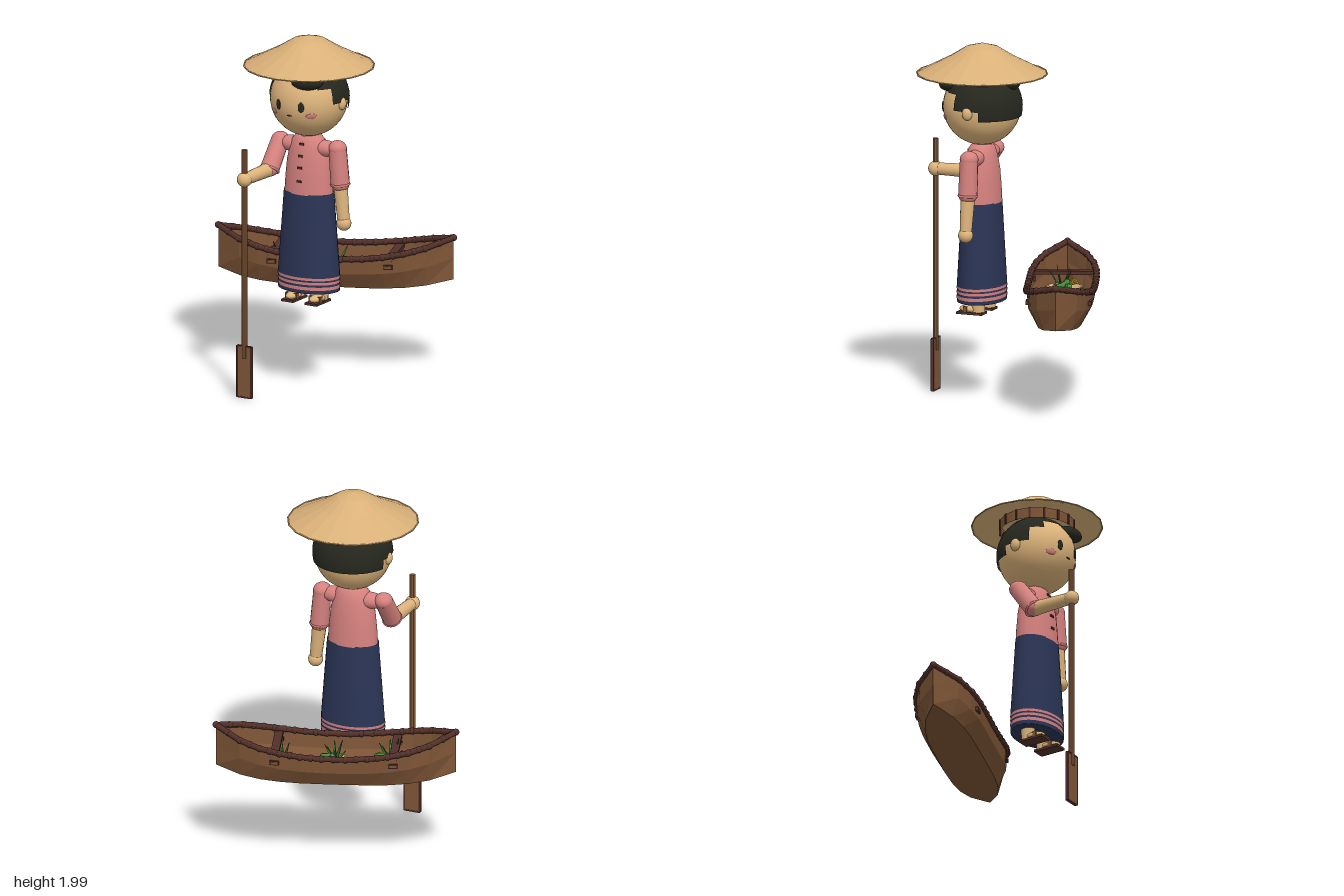
import * as THREE from 'three';

const mat = (name, color, double) => {
  const m = new THREE.MeshStandardMaterial({ color });
  m.name = name;
  if (double) m.side = THREE.DoubleSide;
  return m;
};

export function createModel() {
  const straw = mat('straw', 0xd9b078, true), skin = mat('skin', 0xdfb57c), pink = mat('pink cloth', 0xd6827f);
  const navy = mat('navy cloth', 0x2b3556, true), wood = mat('wood', 0x7f5637, true), dark = mat('dark wood', 0x52302a);
  const hair = mat('hair', 0x26281f, true), green = mat('green', 0x468f3a), leafGreen = mat('leaf green', 0x23592a);
  const yellow = mat('yellow', 0xdcb52e);
  const rad = THREE.MathUtils.degToRad;
  const model = new THREE.Group();
  model.name = 'boatWoman';

  const group = (parent, name, x = 0, y = 0, z = 0) => {
    const g = new THREE.Group();
    g.name = name;
    g.position.set(x, y, z);
    parent.add(g);
    return g;
  };
  const add = (parent, name, geo, material, x = 0, y = 0, z = 0) => {
    const m = new THREE.Mesh(geo, material);
    m.name = name;
    m.position.set(x, y, z);
    parent.add(m);
    return m;
  };
  const flat = (geo) => {
    const g = geo.toNonIndexed();
    g.computeVertexNormals();
    return g;
  };
  const box = (parent, name, w, h, d, m, x, y, z) => add(parent, name, new THREE.BoxGeometry(w, h, d), m, x, y, z);
  const ball = (parent, name, rx, ry, rz, m, x, y, z) => {
    const b = add(parent, name, new THREE.SphereGeometry(1, 20, 14), m, x, y, z);
    b.scale.set(rx, ry, rz);
    return b;
  };
  const lathe = (pts, n) => new THREE.LatheGeometry(pts.map(([r, y]) => new THREE.Vector2(r, y)), n);
  // Tapered rod from point a to point b
  const limb = (parent, name, a, b, ra, rb, m, sides = 14) => {
    const A = new THREE.Vector3(...a), B = new THREE.Vector3(...b), d = B.clone().sub(A);
    const rod = add(parent, name, new THREE.CylinderGeometry(rb, ra, d.length(), sides), m);
    rod.position.copy(A).lerp(B, 0.5);
    rod.quaternion.setFromUnitVectors(new THREE.Vector3(0, 1, 0), d.normalize());
    return rod;
  };

  // ---- Woman ----
  const woman = group(model, 'woman', 0.092, 0, 0.163);

  // Conical hat and its inner band
  add(woman, 'hat', flat(lathe([[0.36, 1.828], [0.18, 1.92], [0.09, 1.976], [0.001, 2]], 20)), straw);
  add(woman, 'hatRim', new THREE.TorusGeometry(0.357, 0.004, 6, 20).rotateX(Math.PI / 2), straw, 0, 1.831, 0);
  add(woman, 'hatBand', new THREE.CylinderGeometry(0.205, 0.205, 0.06, 16, 1, true), wood, 0, 1.825, 0);
  for (let i = 0; i < 16; i++) {
    const a = (i / 16) * Math.PI * 2;
    box(woman, 'hatBandRib', 0.01, 0.06, 0.01, dark, 0.205 * Math.sin(a), 1.825, 0.205 * Math.cos(a)).rotation.y = a;
  }

  // Head, ears and face
  const head = group(woman, 'head', 0, 1.65, 0);
  const R = 0.213;
  add(head, 'face', new THREE.SphereGeometry(R, 36, 24), skin);
  const onFace = (name, x, y, rx, ry, m) => {
    const n = new THREE.Vector3(x, y, Math.sqrt(R * R - x * x - y * y));
    const f = ball(head, name, rx, ry, 0.005, m, n.x, n.y, n.z);
    f.quaternion.setFromUnitVectors(new THREE.Vector3(0, 0, 1), n.normalize());
  };
  for (const s of [-1, 1]) {
    onFace('eye', s * 0.072, -0.006, 0.017, 0.03, hair);
    onFace('cheek', s * 0.118, -0.055, 0.03, 0.016, pink);
    ball(head, 'ear', 0.022, 0.036, 0.03, skin, s * 0.211, -0.008, 0);
  }
  onFace('mouth', 0, -0.06, 0.015, 0.004, dark);

  // Hair: overlapping shells reaching lower toward the back, with fringe and bun
  const shell = (name, r, from, to, low) => add(head, name,
    new THREE.SphereGeometry(r, 36, 14, rad(from), rad(to - from), 0, rad(low)), hair);
  shell('hairCrown', 0.218, 0, 360, 50);
  shell('hairTop', 0.219, 135, 405, 66);
  shell('hairSides', 0.22, 158, 382, 89);
  shell('hairBack', 0.222, 197, 343, 103);
  ball(head, 'fringe', 0.1, 0.042, 0.05, hair, 0.085, 0.128, 0.155).rotation.z = 0.12;
  ball(head, 'bun', 0.055, 0.05, 0.05, hair, 0, 0.15, -0.175);

  // Blouse with buttons
  const blouse = [[0.143, 1.12], [0.138, 1.2], [0.128, 1.3], [0.112, 1.37], [0.097, 1.415], [0.07, 1.445], [0.001, 1.452]];
  add(woman, 'blouse', lathe(blouse, 28), pink).scale.z = 0.73;
  limb(woman, 'neck', [0, 1.42, 0], [0, 1.5, 0], 0.055, 0.055, skin);
  [[1.4, 0.076], [1.335, 0.09], [1.27, 0.097], [1.195, 0.102]].forEach(([y, z]) =>
    box(woman, 'button', 0.026, 0.012, 0.01, dark, 0, y, z));

  // Skirt with hem stripes
  const skirtR = (y) => 0.148 + 0.034 * Math.min(1, (1.125 - y) / 0.45);
  add(woman, 'skirt', lathe([[0.001, 0.6], [0.175, 0.572], [skirtR(0.575), 0.575], [skirtR(0.675), 0.675],
    [skirtR(0.9), 0.9], [0.148, 1.125]], 28), navy).scale.z = 0.7;
  for (const [y, h] of [[0.655, 0.014], [0.631, 0.014], [0.603, 0.018]])
    add(woman, 'hemStripe', new THREE.CylinderGeometry(0.1845, 0.1845, h, 28, 1, true), pink, 0, y, 0).scale.z = 0.7;

  // Legs, feet and sandals
  for (const s of [-1, 1]) {
    const x = s * 0.075;
    limb(woman, 'leg', [x, 0.52, -0.01], [x, 0.64, -0.01], 0.036, 0.04, skin);
    ball(woman, 'foot', 0.036, 0.022, 0.065, skin, x, 0.533, 0.035);
    box(woman, 'sandalSole', 0.076, 0.013, 0.15, dark, x, 0.512, 0.03);
    box(woman, 'sandalStrap', 0.074, 0.03, 0.022, wood, x, 0.534, 0.055);
  }

  // Arms: puffed sleeve, cuff, forearm and hand
  const arm = (name, shoulder, elbow, wrist) => {
    const g = group(woman, name);
    limb(g, 'sleeve', shoulder, elbow, 0.05, 0.053, pink);
    ball(g, 'shoulder', 0.051, 0.045, 0.051, pink, ...shoulder);
    ball(g, 'elbow', 0.05, 0.04, 0.05, pink, ...elbow);
    const a = new THREE.Vector3(...shoulder), b = new THREE.Vector3(...elbow);
    const cuff = add(g, 'cuff', new THREE.TorusGeometry(0.05, 0.007, 6, 18), pink, ...elbow);
    cuff.quaternion.setFromUnitVectors(new THREE.Vector3(0, 0, 1), b.sub(a).normalize());
    limb(g, 'forearm', elbow, wrist, 0.04, 0.033, skin);
    ball(g, 'hand', 0.041, 0.041, 0.041, skin, ...wrist);
    return g;
  };
  arm('leftArm', [0.183, 1.385, 0], [0.2, 1.185, 0], [0.225, 0.97, 0.003]);
  arm('rightArm', [-0.183, 1.385, 0], [-0.187, 1.24, 0.105], [-0.194, 1.237, 0.355]);
  for (const s of [-1, 1]) ball(woman, 'shoulderJoin', 0.09, 0.045, 0.05, pink, s * 0.1, 1.375, 0);

  // ---- Paddle ----
  const paddle = group(model, 'paddle', -0.102, 0, 0.518);
  add(paddle, 'shaft', flat(new THREE.CylinderGeometry(0.017, 0.017, 1.175, 8)), wood, 0, 0.8175, 0);
  box(paddle, 'blade', 0.086, 0.28, 0.014, wood, 0, 0.153, 0);
  for (const s of [-1, 1]) {
    box(paddle, 'bladeSideEdge', 0.008, 0.29, 0.018, dark, s * 0.045, 0.153, 0);
    box(paddle, 'bladeEndEdge', 0.09, 0.008, 0.018, dark, 0, 0.153 + s * 0.143, 0);
  }

  // ---- Boat ----
  const boat = group(model, 'boat', -0.002, 0, -0.267);
  boat.rotation.y = rad(19.9);
  const L = 0.655;
  const stations = [-1, -0.79, -0.62, -0.45, -0.28, -0.1, 0.1, 0.28, 0.45, 0.62, 0.79, 1];
  const half = (t) => 0.183 * (1 - t ** 4);
  const rimY = (t) => 0.672 + 0.108 * t * t;
  const keelY = (t) => 0.5 + 0.045 * Math.abs(t) ** 3;
  const section = [[1, 1], [0.96, 0.5], [0.68, 0], [-0.68, 0], [-0.96, 0.5], [-1, 1]];

  // Hull lofted through the stations
  const pos = [], idx = [], n = section.length;
  stations.forEach((t, i) => section.forEach(([v, h], j) => {
    pos.push(t * L, keelY(t) + (rimY(t) - keelY(t)) * h, v * half(t));
    if (i < stations.length - 1 && j < n - 1) {
      const a = i * n + j, b = a + n;
      idx.push(a, a + 1, b, b, a + 1, b + 1);
    }
  }));
  const hull = new THREE.BufferGeometry();
  hull.setAttribute('position', new THREE.Float32BufferAttribute(pos, 3));
  hull.setIndex(idx);
  add(boat, 'hull', flat(hull), wood);

  // Jointed pole along each gunwale
  for (const s of [-1, 1]) {
    const p = stations.map((t) => [t * L, rimY(t), s * half(t)]);
    for (let i = 0; i < p.length - 1; i++) {
      limb(boat, 'gunwale', p[i], p[i + 1], 0.016, 0.016, dark, 8);
      const mid = p[i].map((c, k) => (c + p[i + 1][k]) / 2);
      for (const q of [p[i], mid, p[i + 1]]) ball(boat, 'gunwaleKnot', 0.019, 0.019, 0.019, dark, ...q);
    }
  }
  // Cross planks with peg ends through the hull
  for (const u of [-0.324, 0.324]) {
    box(boat, 'crossPlank', 0.046, 0.02, 0.33, dark, u, 0.675, 0);
    for (const s of [-1, 1]) {
      box(boat, 'pegEnd', 0.05, 0.024, 0.02, dark, u, 0.638, s * 0.168);
      box(boat, 'pegCore', 0.034, 0.012, 0.02, wood, u, 0.638, s * 0.17);
    }
  }

  // Baskets of vegetables
  for (const [u, r] of [[-0.288, 0.105], [0.015, 0.096], [0.3, 0.085]]) {
    const b = group(boat, 'basket', u, 0.505, 0);
    b.scale.setScalar(r / 0.1);
    add(b, 'basketBowl', flat(lathe([[0.001, 0], [0.06, 0.004], [0.085, 0.05], [0.1, 0.095], [0.092, 0.095], [0.07, 0.06], [0.001, 0.06]], 12)), straw);
    // Yellow pods
    for (let i = 0; i < 5; i++)
      limb(b, 'yellowPod', [-0.06 + i * 0.012, 0.08 + 0.006 * i, 0.015 - i * 0.008], [0.0 + i * 0.009, 0.115 + 0.01 * (i % 3), -0.07 + i * 0.006], 0.009, 0.006, yellow, 7);
    // Curled gourd and round greens
    const curl = new THREE.CatmullRomCurve3([[0.0, 0.09, 0.03], [0.045, 0.1, 0.045], [0.065, 0.11, 0.01], [0.04, 0.125, -0.02], [0.01, 0.12, -0.01]]
      .map((q) => new THREE.Vector3(...q)));
    add(b, 'gourd', new THREE.TubeGeometry(curl, 14, 0.014, 8), green);
    for (const [x, y, z] of [[0.062, 0.1, -0.025], [0.005, 0.115, -0.015], [0.01, 0.095, 0.035]])
      ball(b, 'greenBulb', 0.02, 0.02, 0.02, green, x, y, z);
    // Upright leaves
    for (let i = 0; i < 6; i++) {
      const a = i * 1.05 + 0.4, lean = 0.05 + 0.02 * (i % 2);
      const leaf = limb(b, 'leaf', [-0.01, 0.07, 0.01], [-0.01 + lean * Math.cos(a), 0.16 + 0.02 * (i % 3), 0.01 + lean * Math.sin(a)],
        0.014, 0.002, i % 2 ? green : leafGreen, 5);
      leaf.scale.z = 0.5;
    }
  }
  return model;
}
